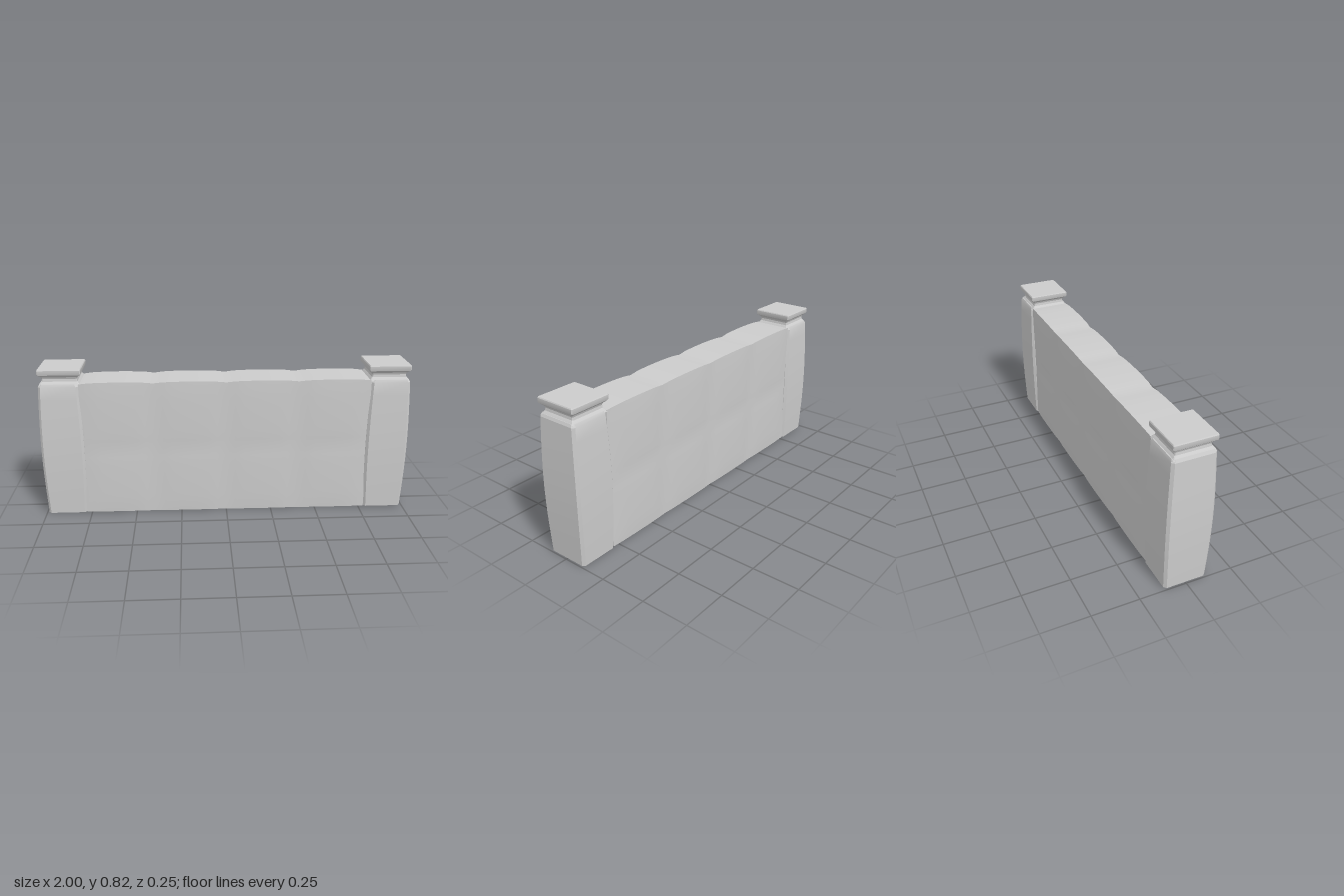
import * as THREE from 'three';
import { toCreasedNormals } from 'three/addons/utils/BufferGeometryUtils.js';

const grey = new THREE.MeshStandardMaterial({ color: 0xcccccc });

// Stack of bevelled rectangles; each ring is [y, halfX, halfZ, bevel]
function loft(rings) {
  const pos = [];
  const idx = [];
  const n = 8;
  for (const [y, w, d, b] of rings) {
    const corners = [
      [w, d - b], [w, b - d], [w - b, -d], [b - w, -d],
      [-w, b - d], [-w, d - b], [b - w, d], [w - b, d],
    ];
    for (const [x, z] of corners) pos.push(x, y, z);
  }
  for (let r = 0; r < rings.length - 1; r++) {
    for (let i = 0; i < n; i++) {
      const a = r * n + i, b = r * n + (i + 1) % n;
      idx.push(a, b, b + n, a, b + n, a + n);
    }
  }
  const top = (rings.length - 1) * n;
  for (let i = 1; i < n - 1; i++) {
    idx.push(0, i + 1, i, top, top + i, top + i + 1);
  }
  const geo = new THREE.BufferGeometry();
  geo.setAttribute('position', new THREE.Float32BufferAttribute(pos, 3));
  geo.setIndex(idx);
  return toCreasedNormals(geo, 0.4);
}

// Pillow curve: 0 at both ends of a block, 1 in the middle
const pillow = (t) => Math.sqrt(Math.max(0, Math.sin(Math.PI * t)));

// Wall between the pillars: four by two softly bulging stone blocks
function wallGeometry() {
  const width = 1.56, height = 0.745, depth = 0.214;
  const geo = new THREE.BoxGeometry(width, height, depth, 32, 16, 4);
  geo.translate(0, height / 2, 0);
  const p = geo.attributes.position;
  for (let i = 0; i < p.count; i++) {
    const x = p.getX(i), y = p.getY(i), z = p.getZ(i);
    const u = ((x / width + 0.5) * 4) % 1;
    const v = ((y / height) * 2) % 1;
    const bulge = 0.009 * pillow(u) * (0.5 + 0.5 * pillow(v));
    p.setZ(i, z * (1 + bulge / (depth / 2)));
    if (y > height - 0.001) p.setY(i, y - 0.004 + 0.009 * pillow(u));
  }
  return toCreasedNormals(geo, 0.5);
}

// Pillar shaft: swells gently at mid height, eased in at the top
function shaftGeometry() {
  const rings = [];
  for (let i = 0; i <= 10; i++) {
    const t = i / 10;
    const swell = 0.01 * Math.sin(Math.PI * t);
    rings.push([0.728 * t, 0.105 + swell, 0.114 + swell, 0.013]);
  }
  rings.push([0.742, 0.098, 0.108, 0.012]);
  return loft(rings);
}

// Moulded cap: narrow neck flaring out to a flat square slab
function capGeometry() {
  return loft([
    [0.735, 0.108, 0.108, 0.004],
    [0.745, 0.101, 0.101, 0.004],
    [0.754, 0.093, 0.093, 0.004],
    [0.768, 0.091, 0.091, 0.004],
    [0.778, 0.095, 0.095, 0.004],
    [0.786, 0.104, 0.104, 0.004],
    [0.792, 0.111, 0.111, 0.004],
    [0.797, 0.113, 0.113, 0.004],
    [0.817, 0.113, 0.113, 0.004],
    [0.822, 0.110, 0.110, 0.004],
  ]);
}

export function createModel() {
  const model = new THREE.Group();
  model.name = 'stoneWall';

  const wall = new THREE.Mesh(wallGeometry(), grey);
  wall.name = 'wall';
  model.add(wall);

  // Matching pillars at both ends
  const shaftGeo = shaftGeometry();
  const capGeo = capGeometry();
  for (const [side, sign] of [['left', 1], ['right', -1]]) {
    const pillar = new THREE.Group();
    pillar.name = side + 'Pillar';
    const shaft = new THREE.Mesh(shaftGeo, grey);
    shaft.name = side + 'Shaft';
    shaft.position.x = sign * 0.885;
    const cap = new THREE.Mesh(capGeo, grey);
    cap.name = side + 'Cap';
    cap.position.x = sign * 0.877;
    pillar.add(shaft, cap);
    model.add(pillar);
  }
  return model;
}
